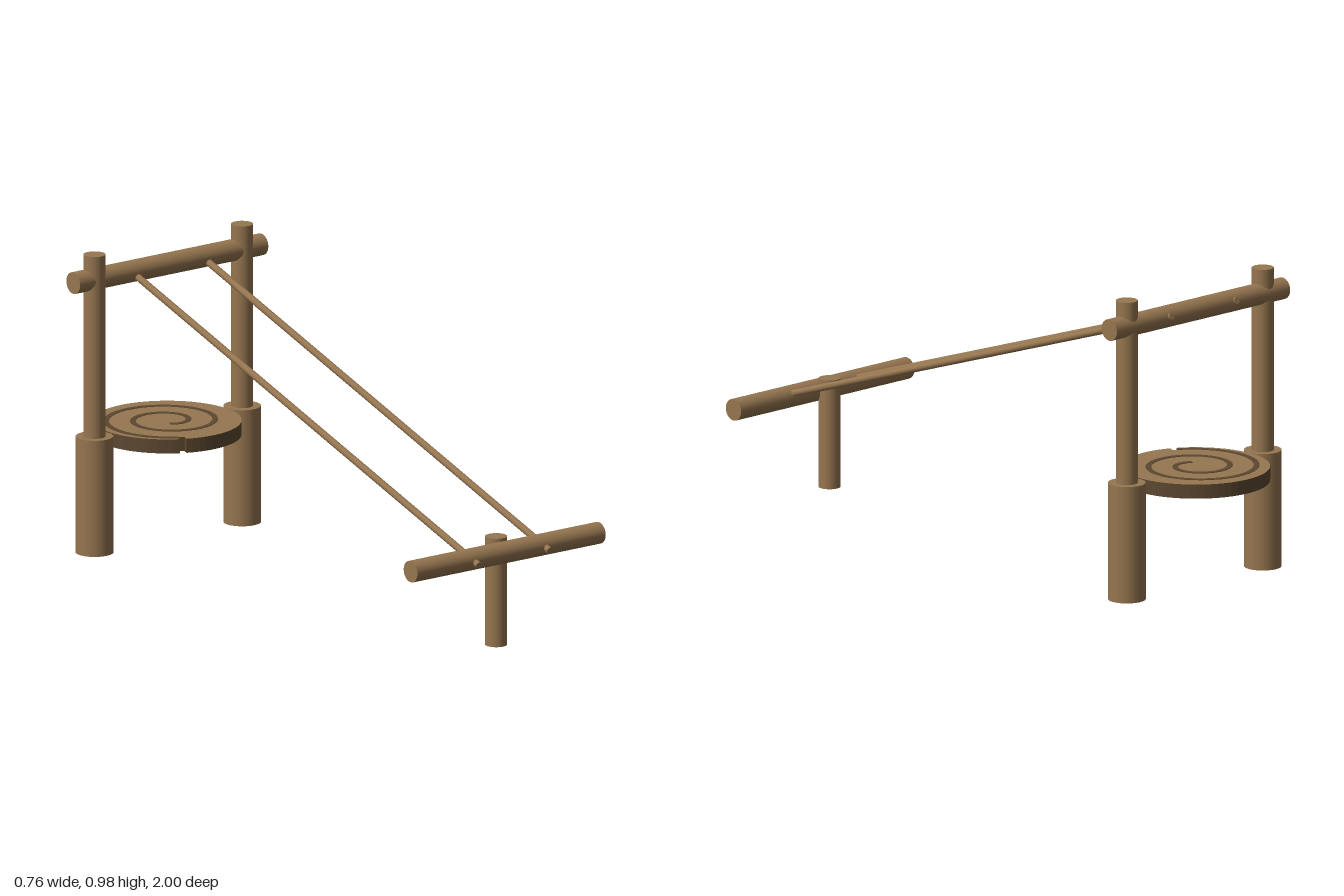
import * as THREE from 'three';

export function createModel() {
  const model = new THREE.Group();
  const wood = new THREE.MeshStandardMaterial({ color: 0x967650 });
  wood.name = 'wood';
  const darkWood = new THREE.MeshStandardMaterial({ color: 0x5c4830 });
  darkWood.name = 'darkWood';

  // Round pole between two points
  function pole(name, from, to, radius, segments = 24) {
    const a = new THREE.Vector3(...from), b = new THREE.Vector3(...to);
    const dir = b.clone().sub(a);
    const mesh = new THREE.Mesh(new THREE.CylinderGeometry(radius, radius, dir.length(), segments), wood);
    mesh.position.copy(a).add(b).multiplyScalar(0.5);
    mesh.quaternion.setFromUnitVectors(new THREE.Vector3(0, 1, 0), dir.normalize());
    mesh.name = name;
    model.add(mesh);
  }

  // Paired back posts and long sloping rails
  for (const [side, s] of [['left', 1], ['right', -1]]) {
    pole(side + 'PostBase', [s * 0.298, 0, -0.76], [s * 0.298, 0.38, -0.76], 0.06);
    pole(side + 'Post', [s * 0.298, 0.38, -0.76], [s * 0.298, 0.975, -0.76], 0.035);
    pole(side + 'Rail', [s * 0.143, 0.302, 0.997], [s * 0.143, 0.903, -0.805], 0.0115, 12);
  }

  // Cross beams and the front post
  pole('backBeam', [-0.38, 0.893, -0.765], [0.38, 0.893, -0.765], 0.035);
  pole('frontBeam', [-0.38, 0.311, 0.948], [0.38, 0.311, 0.948], 0.035);
  pole('frontPost', [0, 0, 0.905], [0, 0.355, 0.905], 0.035);

  // Flat horizontal slab whose top lies at the given height
  function slab(name, points, top, depth, material) {
    const geometry = new THREE.ExtrudeGeometry(new THREE.Shape(points), { depth, bevelEnabled: false });
    geometry.rotateX(Math.PI / 2);
    const mesh = new THREE.Mesh(geometry, material);
    mesh.position.set(0, top, -0.765);
    mesh.name = name;
    model.add(mesh);
  }
  const polar = (r, a) => new THREE.Vector2(r * Math.cos(a), r * Math.sin(a));

  // Round seat: pale faces, dark rim, small notch in the edge
  const start = Math.PI * 0.66, notch = 0.09;
  const rim = [polar(0.21, start - notch), polar(0.21, start)];
  for (let i = 0; i <= 64; i++) rim.push(polar(0.235, start + (i / 64) * (Math.PI * 2 - notch)));
  slab('seat', rim, 0.381, 0.046, [wood, darkWood]);

  // Dark spiral grain on both faces of the seat
  const outer = [], inner = [];
  for (let i = 0; i <= 80; i++) {
    const t = (i / 80) * 2;
    const a = start + t * Math.PI * 2;
    const r = 0.217 - 0.085 * t;
    outer.push(polar(r + 0.009, a));
    inner.push(polar(r - 0.009, a));
  }
  const grain = [...outer, ...inner.reverse()];
  slab('seatGrainTop', grain, 0.3825, 0.002, darkWood);
  slab('seatGrainUnderside', grain, 0.3355, 0.002, darkWood);

  return model;
}
